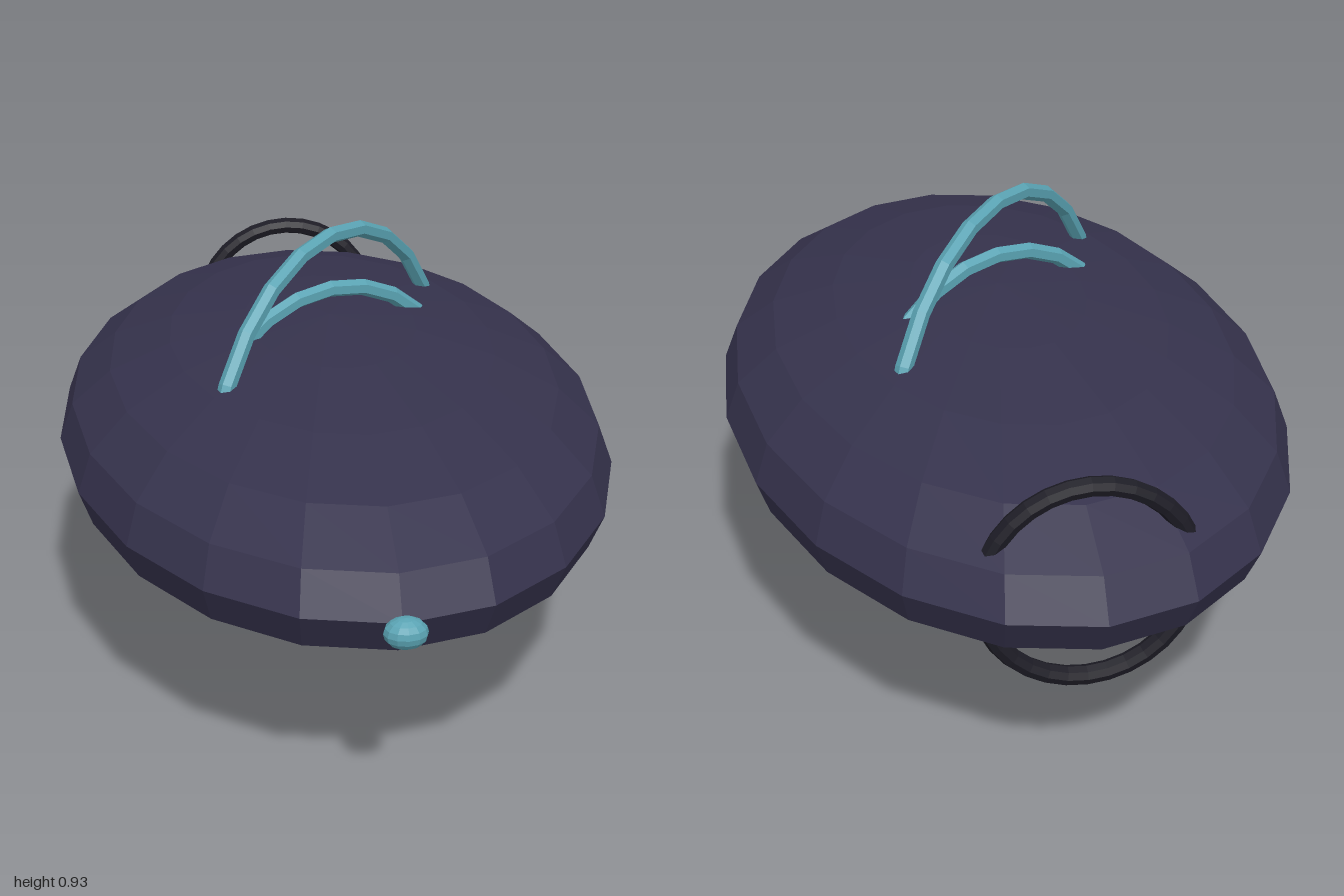
import * as THREE from 'three';
import { RoundedBoxGeometry } from 'three/addons/geometries/RoundedBoxGeometry.js';

const mat = (color) => new THREE.MeshStandardMaterial({ color, flatShading: true });

export function createModel() {
  const group = new THREE.Group();
  const hullMat = mat(0x35324c), podMat = mat(0x25222e), handleMat = mat(0x1c1b24), tealMat = mat(0x5aa3b3);
  const midY = 0.467, midZ = -0.035;

  const add = (name, geometry, material, x, y, z) => {
    const mesh = new THREE.Mesh(geometry, material);
    mesh.name = name;
    mesh.position.set(x, y, z);
    group.add(mesh);
    return mesh;
  };

  // Faceted flattened hull
  const hull = new THREE.SphereGeometry(1, 20, 10).scale(0.605, 0.263, 0.965);
  add('hull', hull, hullMat, 0, midY, midZ);

  // Two upright hoops through the hull, turned about the vertical axis
  for (const [name, radius, tube, turn] of [
    ['largeHoop', 0.448, 0.0185, 0.845],
    ['smallHoop', 0.325, 0.0185, 0.41],
  ]) {
    add(name, new THREE.TorusGeometry(radius, tube, 6, 24), tealMat, 0, midY, midZ + 0.01).rotation.y = turn;
  }

  // Ring at the stern, showing above and below the hull
  add('sternRing', new THREE.TorusGeometry(0.212, 0.02, 8, 32), handleMat, 0, midY, -0.845);

  // Small light on the bow
  add('bowLight', new THREE.SphereGeometry(1, 12, 8).scale(0.043, 0.031, 0.035), tealMat, 0, midY, 0.964);

  // Pod under the hull
  add('underPod', new RoundedBoxGeometry(0.54, 0.15, 0.585, 2, 0.022), podMat, 0, 0.241, -0.09);

  return group;
}
